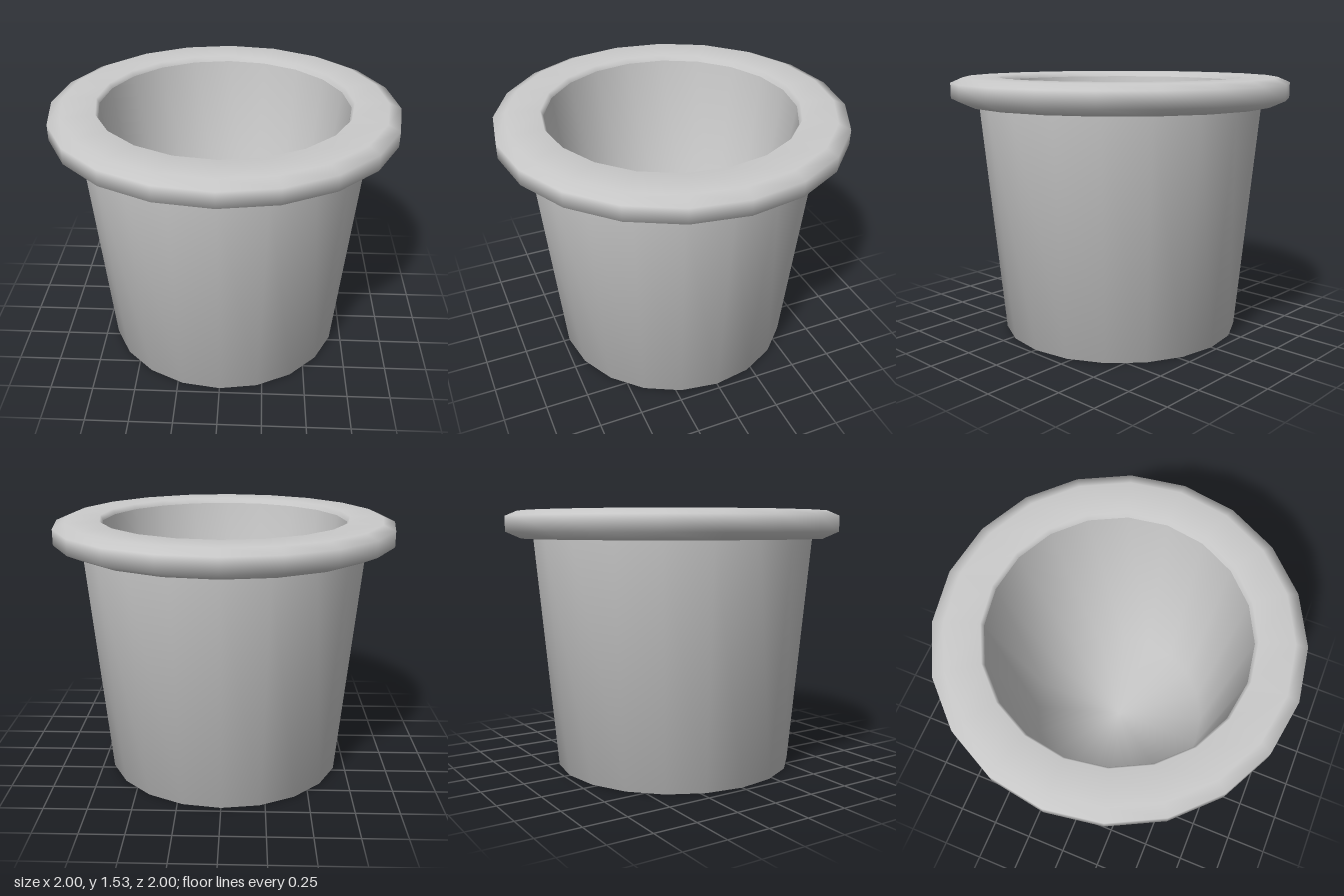
import * as THREE from 'three';
import { mergeVertices } from 'three/addons/utils/BufferGeometryUtils.js';

const SIDES = 20;
const material = new THREE.MeshStandardMaterial({ color: 0xcccccc });

// Turned part with vertices welded, so normals blend over every edge
function turned(name, profile) {
  const lathe = new THREE.LatheGeometry(profile.map(([r, y]) => new THREE.Vector2(r, y)), SIDES);
  lathe.deleteAttribute('uv');
  lathe.deleteAttribute('normal');
  const geometry = mergeVertices(lathe, 1e-4);
  geometry.computeVertexNormals();
  const mesh = new THREE.Mesh(geometry, material);
  mesh.name = name;
  return mesh;
}

export function createModel() {
  const pot = new THREE.Group();
  pot.name = 'flowerPot';

  // Underside and tapered outer wall
  pot.add(turned('outerWall', [[0, 0], [0.715, 0], [0.84, 1.37]]));

  // Bevelled lip around the mouth
  pot.add(turned('rim', [
    [0.84, 1.37], [0.91, 1.37], [1, 1.41], [1, 1.5], [0.93, 1.53], [0.735, 1.53], [0.72, 1.5],
  ]));

  // Tapered inner wall and floor
  pot.add(turned('interior', [[0.72, 1.5], [0.565, 0.14], [0, 0.14]]));

  return pot;
}
